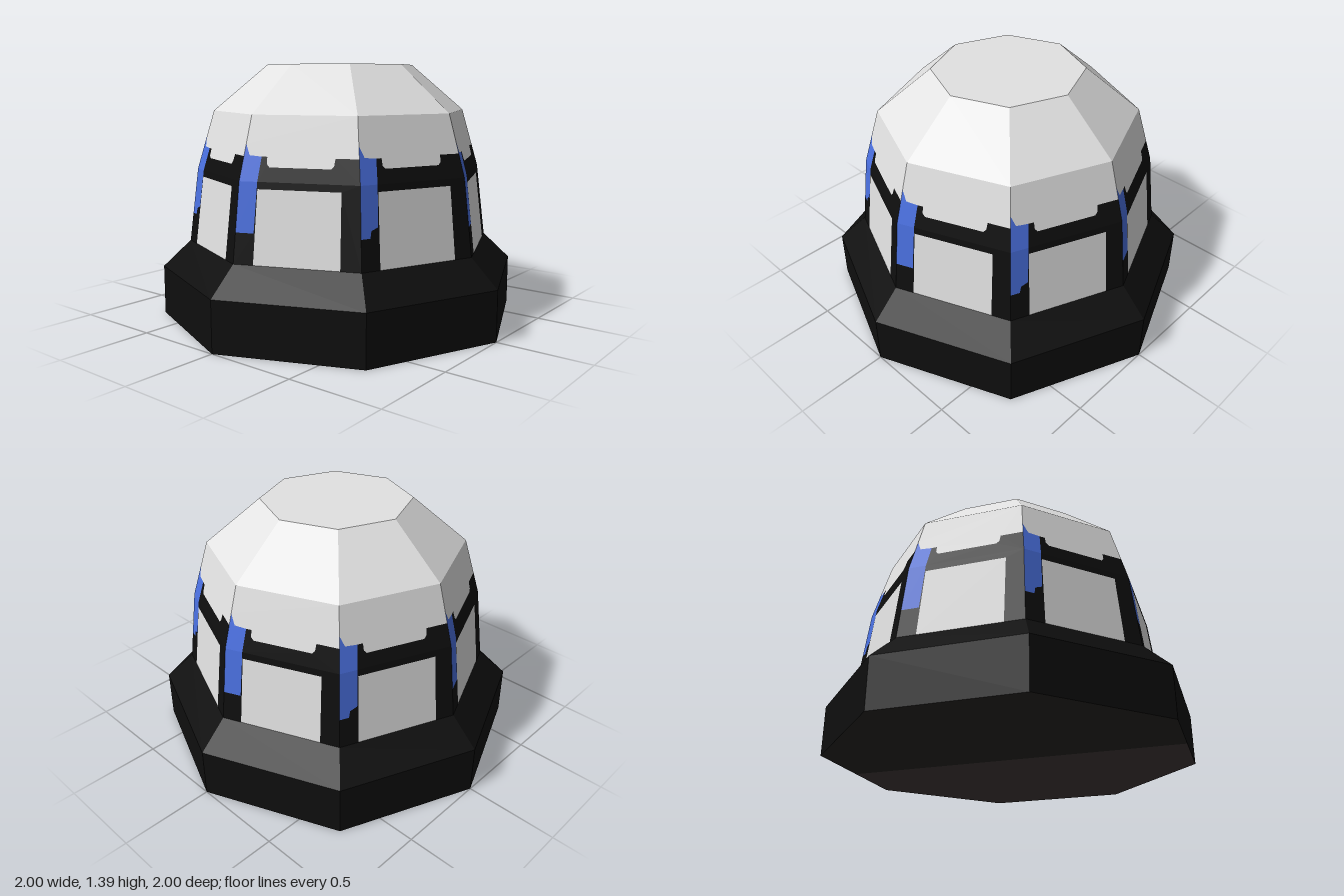
import * as THREE from 'three';
import { mergeGeometries } from 'three/addons/utils/BufferGeometryUtils.js';

const SIDES = 8;
const STEP = (Math.PI * 2) / SIDES;
// radius and height of the rings around the wall
const RINGS = [[0.848, 0.415], [0.797, 0.82], [0.702, 1.14]];

function radiusAt(y) {
  const [a, b] = y <= RINGS[1][1] ? [RINGS[0], RINGS[1]] : [RINGS[1], RINGS[2]];
  return THREE.MathUtils.mapLinear(y, a[1], b[1], a[0], b[0]);
}

function faceted(geometry) {
  const flat = geometry.index ? geometry.toNonIndexed() : geometry;
  flat.computeVertexNormals();
  return flat;
}

function shapeOf(points) {
  return new THREE.ShapeGeometry(new THREE.Shape(points.map(([x, y]) => new THREE.Vector2(x, y))));
}

// Lays an outline (u across the side 0..1, y height) onto one flat side of the wall
function patch(side, outline) {
  const geometry = shapeOf(outline);
  const p = geometry.attributes.position;
  const a = side * STEP, b = (side + 1) * STEP;
  for (let i = 0; i < p.count; i++) {
    const u = p.getX(i), y = p.getY(i), r = radiusAt(y);
    p.setXYZ(i,
      r * THREE.MathUtils.lerp(Math.sin(a), Math.sin(b), u), y,
      r * THREE.MathUtils.lerp(Math.cos(a), Math.cos(b), u));
  }
  return faceted(geometry);
}

function lathe(profile) {
  return faceted(new THREE.LatheGeometry(profile.map(([r, y]) => new THREE.Vector2(r, y)), SIDES));
}

// Half of the octagonal underside, split between two side midpoints
function undersideHalf(start) {
  const points = [];
  const mid = Math.cos(STEP / 2);
  const add = (r, n) => points.push([r * Math.sin(n * STEP), r * Math.cos(n * STEP)]);
  add(mid, start + 0.5);
  for (let n = 1; n <= 4; n++) add(1, start + n);
  add(mid, start + 4.5);
  return faceted(shapeOf(points).rotateX(Math.PI / 2));
}

export function createModel() {
  const group = new THREE.Group();
  const material = (name, color) => {
    const m = new THREE.MeshStandardMaterial({ color });
    m.name = name;
    return m;
  };
  const white = material('white', 0xe2e2e2);
  const black = material('black', 0x0e0e0e);
  const blue = material('blue', 0x4a70e0);
  const brown = material('darkBrown', 0x433a3a);
  const charcoal = material('charcoal', 0x282724);

  const add = (name, geometry, mat) => {
    const mesh = new THREE.Mesh(geometry, mat);
    mesh.name = name;
    group.add(mesh);
  };

  // Base skirt and underside
  add('baseSkirt', lathe([[1, 0], [1, 0.27], RINGS[0]]), black);
  add('undersideLeft', undersideHalf(0), brown);
  add('undersideRight', undersideHalf(4), charcoal);

  // Dome top
  add('domeTop', lathe([RINGS[2], [0.405, 1.39], [0, 1.39]]), white);

  // Wall sides: frame, window panel, blue strip and upper white panel
  const parts = { frame: [], windows: [], strips: [], upperPanels: [] };
  // stepped upper edge of the frame, from right to left
  const trim = [[1, 0.94], [0.8, 0.94], [0.79, 0.905], [0.765, 0.89],
    [0.24, 0.89], [0.215, 0.905], [0.21, 0.94], [0.16, 0.94]];
  for (let side = 0; side < SIDES; side++) {
    // foot of the strip, left to right; every other side has a notch
    const foot = side % 2
      ? [[0, 0.57], [0.08, 0.57], [0.09, 0.605], [0.15, 0.62]]
      : [[0, 0.57], [0.15, 0.57]];
    parts.frame.push(
      patch(side, [[0, 0.415], [0.16, 0.415], [0.16, 0.785], [0.85, 0.785], [0.84, 0.415],
        [1, 0.415], [1, 0.82], [0.155, 0.82], ...[...foot].reverse()]),
      patch(side, [[0.155, 0.82], [1, 0.82], ...trim]));
    parts.windows.push(patch(side, [[0.16, 0.415], [0.84, 0.415], [0.85, 0.785], [0.16, 0.785]]));
    parts.strips.push(
      patch(side, [...foot, [0.155, 0.82], [0, 0.82]]),
      patch(side, [[0, 0.82], [0.155, 0.82], [0.16, 0.94], [0.05, 0.945], [0, 1]]));
    parts.upperPanels.push(
      patch(side, [[0, 1], [0.05, 0.945], ...[...trim].reverse(), [1, 1.14], [0, 1.14]]));
  }
  add('wallFrame', mergeGeometries(parts.frame), black);
  add('windowPanels', mergeGeometries(parts.windows), white);
  add('cornerStrips', mergeGeometries(parts.strips), blue);
  add('upperPanels', mergeGeometries(parts.upperPanels), white);

  return group;
}
